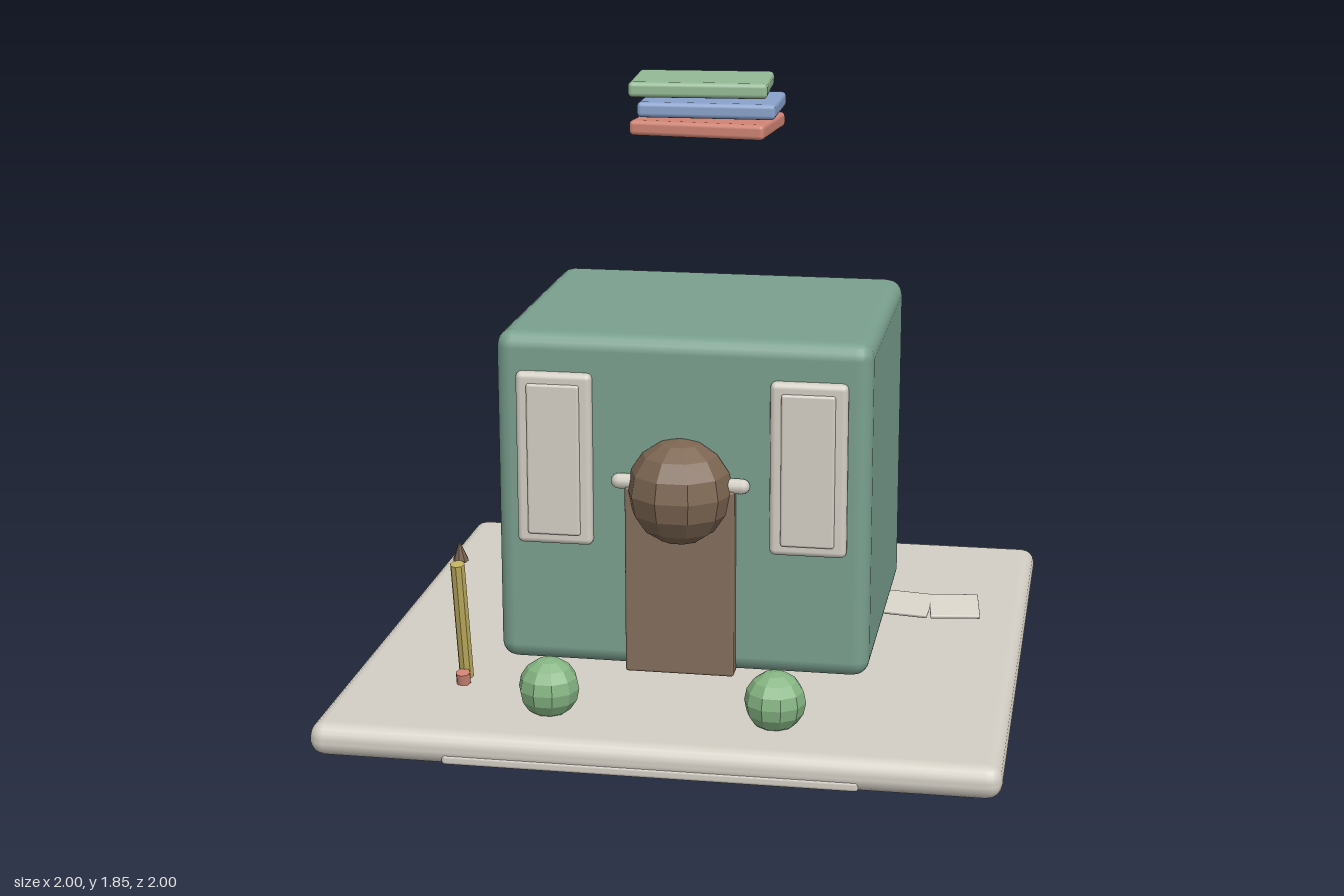
import * as THREE from 'three';
import { RoundedBoxGeometry } from 'three/addons/geometries/RoundedBoxGeometry.js';

const paint = (name, color, flatShading = false) =>
  Object.assign(new THREE.MeshStandardMaterial({ color, flatShading }), { name });

export function createModel() {
  const model = new THREE.Group();
  model.name = 'schoolhouse';

  const stone = paint('warm stone', 0xd4cfc5);
  const wall = paint('sage wall', 0x7aa08f);
  const wood = paint('door wood', 0x846e5d);
  const darkWood = paint('dark wood', 0x7d6652, true);
  const leaf = paint('leaf green', 0x86b583, true);
  const coverGreen = paint('cover green', 0x94ba95);
  const coverBlue = paint('cover blue', 0x8aa2cc);
  const coverRed = paint('cover red', 0xd08474);
  const yellow = paint('pencil yellow', 0xc2b160, true);

  const add = (name, geometry, material, x, y, z, parent = model) => {
    const mesh = new THREE.Mesh(geometry, material);
    mesh.name = name;
    mesh.position.set(x, y, z);
    parent.add(mesh);
    return mesh;
  };
  const rounded = (w, h, d, r, segments = 2) => new RoundedBoxGeometry(w, h, d, segments, r);

  // Ground slab with a low front step
  add('groundSlab', rounded(2, 0.1, 2, 0.045), stone, 0, 0.05, 0);
  add('frontStep', rounded(1.2, 0.03, 0.16, 0.01), stone, 0, 0.021, 0.92);

  // Building and door
  add('building', rounded(1.13, 1.03, 0.96, 0.05), wall, 0, 0.635, -0.05);
  add('door', rounded(0.33, 0.58, 0.06, 0.008), wood, 0, 0.41, 0.44);

  // Round ornament on a short horizontal rod
  add('doorOrnament', new THREE.SphereGeometry(0.16, 10, 8), darkWood, 0, 0.69, 0.445);
  const rod = add('ornamentRod', new THREE.CapsuleGeometry(0.024, 0.37, 4, 10), stone, 0, 0.712, 0.445);
  rod.rotation.z = Math.PI / 2;

  // Windows and bushes, mirrored
  for (const side of [-1, 1]) {
    add('windowFrame', rounded(0.23, 0.53, 0.05, 0.018), stone, side * 0.382, 0.77, 0.432);
    add('windowPanel', rounded(0.16, 0.465, 0.04, 0.008), stone, side * 0.382, 0.77, 0.446);
    add('bush', new THREE.SphereGeometry(0.09, 10, 8), leaf, side * 0.333, 0.172, 0.767);
  }

  // Floating stack of books: x offset, height and turn of each
  [
    ['redBook', coverRed, 0, 1.711, -0.09],
    ['blueBook', coverBlue, 0.014, 1.77, 0.02],
    ['greenBook', coverGreen, -0.018, 1.831, 0.065],
  ].forEach(([name, material, x, y, turn]) => {
    add(name, rounded(0.42, 0.047, 0.295, 0.014), material, x, y, -0.052).rotation.y = turn;
  });

  // Leaning pencil
  const pencil = new THREE.Group();
  pencil.name = 'pencil';
  model.add(pencil);
  const pencilParts = [
    add('pencilBody', new THREE.CylinderGeometry(0.022, 0.022, 0.388, 8), yellow, -0.635, 0.3, 0.6, pencil),
    add('pencilTip', new THREE.ConeGeometry(0.024, 0.068, 8), darkWood, -0.635, 0.522, 0.603, pencil),
    add('pencilEraser', new THREE.CylinderGeometry(0.022, 0.022, 0.035, 8), coverRed, -0.635, 0.12, 0.603, pencil),
  ];
  pencilParts.forEach((part) => { part.rotation.x = 0.2; });

  // Open book beside the wall, one tilted page on each side of the fold
  for (const side of [-1, 1]) {
    const page = add('openBookPage', rounded(0.158, 0.012, 0.112, 0.004), stone, 0.7 + side * 0.077, 0.145, -0.204);
    page.rotation.set(0.36, side * 0.15, 0, 'YXZ');
  }

  return model;
}
